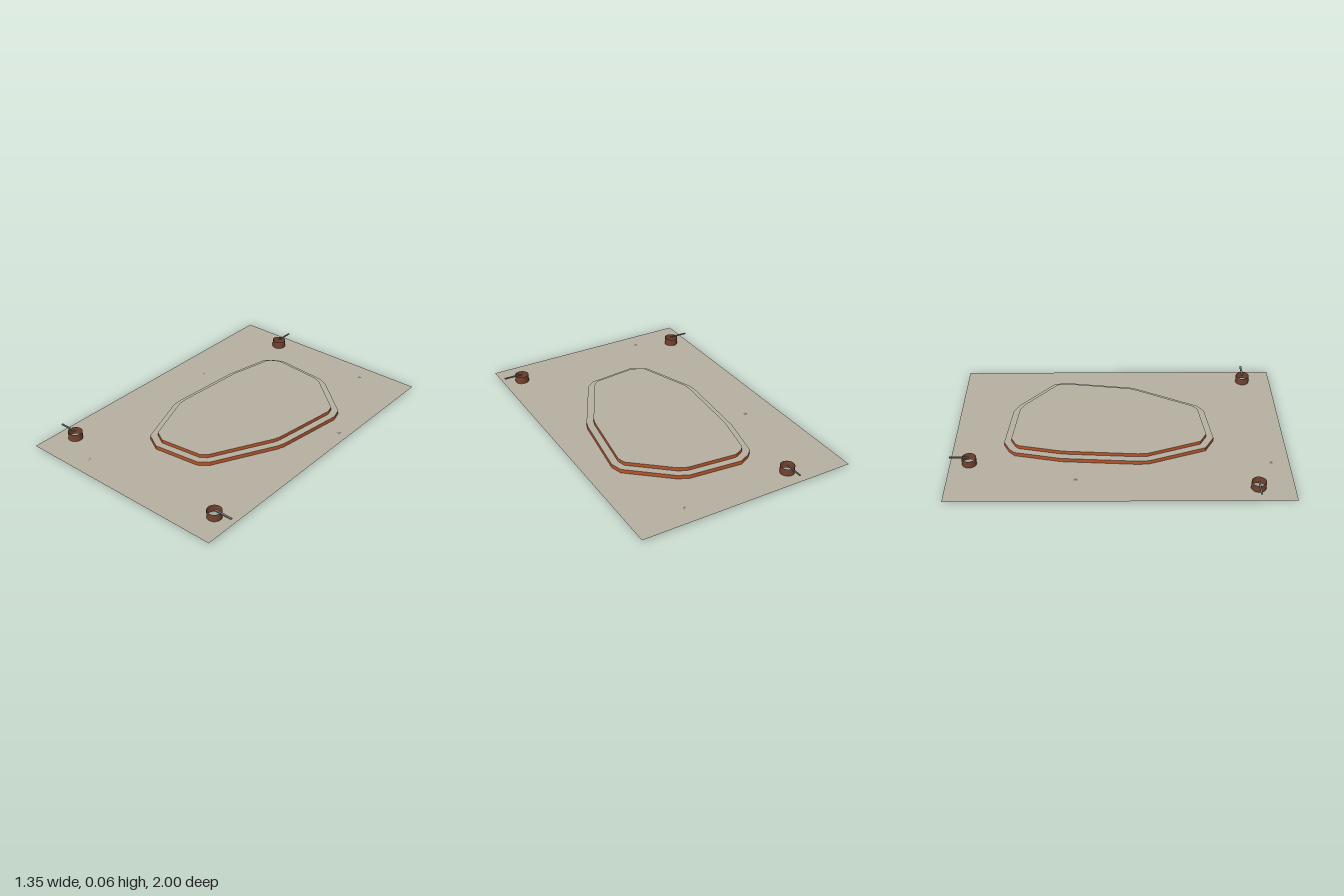
import * as THREE from 'three';

const PLATE_Y = 0.008, STEP_Y = 0.032, TOP_Y = 0.054;
const HALF_W = 0.675, HALF_D = 1;
const PORT_R = 0.043;

// Rounded-corner outline of the raised panel, as x, z pairs
const OUTLINE = [
  [-0.145, -0.695], [0.18, -0.665], [0.245, -0.635], [0.49, -0.425],
  [0.51, -0.355], [0.45, 0.07], [0.435, 0.115], [0.235, 0.495],
  [0.18, 0.535], [-0.11, 0.57], [-0.21, 0.515], [-0.335, 0.175],
  [-0.34, 0.11], [-0.31, -0.345], [-0.25, -0.625], [-0.215, -0.66],
];

// Ports: centre and direction of the pin running to the plate edge
const PORTS = [
  { x: -0.325, z: -0.885, dx: 0, dz: -1, width: 0.008 },
  { x: -0.56, z: 0.79, dx: -1, dz: 0, width: 0.01 },
  { x: 0.557, z: 0.82, dx: 1, dz: 0, width: 0.012 },
];
const FEET = [[0.35, -0.88], [0.613, -0.257], [-0.475, -0.255], [-0.328, 0.89]];

// Move every edge inwards by d with mitred corners
function inset(points, d) {
  const n = points.length;
  const normal = (a, b) => new THREE.Vector2(a[1] - b[1], b[0] - a[0]).normalize();
  return points.map((p, i) => {
    const n1 = normal(points[(i + n - 1) % n], p);
    const n2 = normal(p, points[(i + 1) % n]);
    const k = d / (1 + n1.dot(n2));
    return [p[0] + (n1.x + n2.x) * k, p[1] + (n1.y + n2.y) * k];
  });
}

const toVectors = (points) => points.map(([x, z]) => new THREE.Vector2(x, -z));

// Flat horizontal sheet with holes
function sheet(points, holes, y) {
  const shape = new THREE.Shape(toVectors(points));
  shape.holes = holes;
  return new THREE.ShapeGeometry(shape, 32).rotateX(-Math.PI / 2).translate(0, y, 0);
}

// Flat-faced vertical band following an outline
function wall(points, y0, y1) {
  const pos = [];
  points.forEach(([ax, az], i) => {
    const [bx, bz] = points[(i + 1) % points.length];
    pos.push(bx, y0, bz, ax, y0, az, ax, y1, az);
    pos.push(bx, y0, bz, ax, y1, az, bx, y1, bz);
  });
  const g = new THREE.BufferGeometry();
  g.setAttribute('position', new THREE.Float32BufferAttribute(pos, 3));
  g.computeVertexNormals();
  return g;
}

export function createModel() {
  const material = (name, color) => {
    const m = new THREE.MeshStandardMaterial({ color, side: THREE.DoubleSide });
    m.name = name;
    return m;
  };
  const taupe = material('taupe', 0xb8b1a3);
  const rust = material('rust', 0xb5552b);
  const brown = material('brown', 0x74432f);
  const grey = material('grey', 0x77756f);

  const model = new THREE.Group();
  model.name = 'embossedPlate';
  const add = (name, geometry, mat) => {
    const mesh = new THREE.Mesh(geometry, mat);
    mesh.name = name;
    model.add(mesh);
    return mesh;
  };

  // Base sheet, open under the raised panel and the ports
  const inner = inset(OUTLINE, 0.043);
  const outlineHole = (points) => new THREE.Path(toVectors(points));
  const portHoles = PORTS.map(({ x, z }) =>
    new THREE.Path().absarc(x, -z, PORT_R, 0, Math.PI * 2, true));
  const rectangle = [[-HALF_W, HALF_D], [HALF_W, HALF_D], [HALF_W, -HALF_D], [-HALF_W, -HALF_D]];
  add('basePlate', sheet(rectangle, [outlineHole(OUTLINE), ...portHoles], PLATE_Y), taupe);

  // Two-step raised panel, hollow underneath
  add('lowerWall', wall(OUTLINE, PLATE_Y, STEP_Y), rust);
  add('stepLedge', sheet(OUTLINE, [outlineHole(inner)], STEP_Y), taupe);
  add('upperWall', wall(inner, STEP_Y, TOP_Y), rust);
  add('panelTop', sheet(inner, [], TOP_Y), taupe);

  // Open tubes, each with a thin pin from its centre to the plate edge
  for (const { x, z, dx, dz, width } of PORTS) {
    const height = TOP_Y - PLATE_Y;
    add('portTube', new THREE.CylinderGeometry(PORT_R, PORT_R, height, 32, 1, true), brown)
      .position.set(x, PLATE_Y + height / 2, z);
    const length = dx ? HALF_W - Math.abs(x) : HALF_D - Math.abs(z);
    add('portPin', new THREE.BoxGeometry(dx ? length : width, 0.006, dx ? width : length), grey)
      .position.set(x + dx * length / 2, TOP_Y, z + dz * length / 2);
  }

  // Small feet under the sheet
  for (const [x, z] of FEET) {
    add('foot', new THREE.BoxGeometry(0.022, PLATE_Y, 0.022), grey).position.set(x, PLATE_Y / 2, z);
  }
  return model;
}
